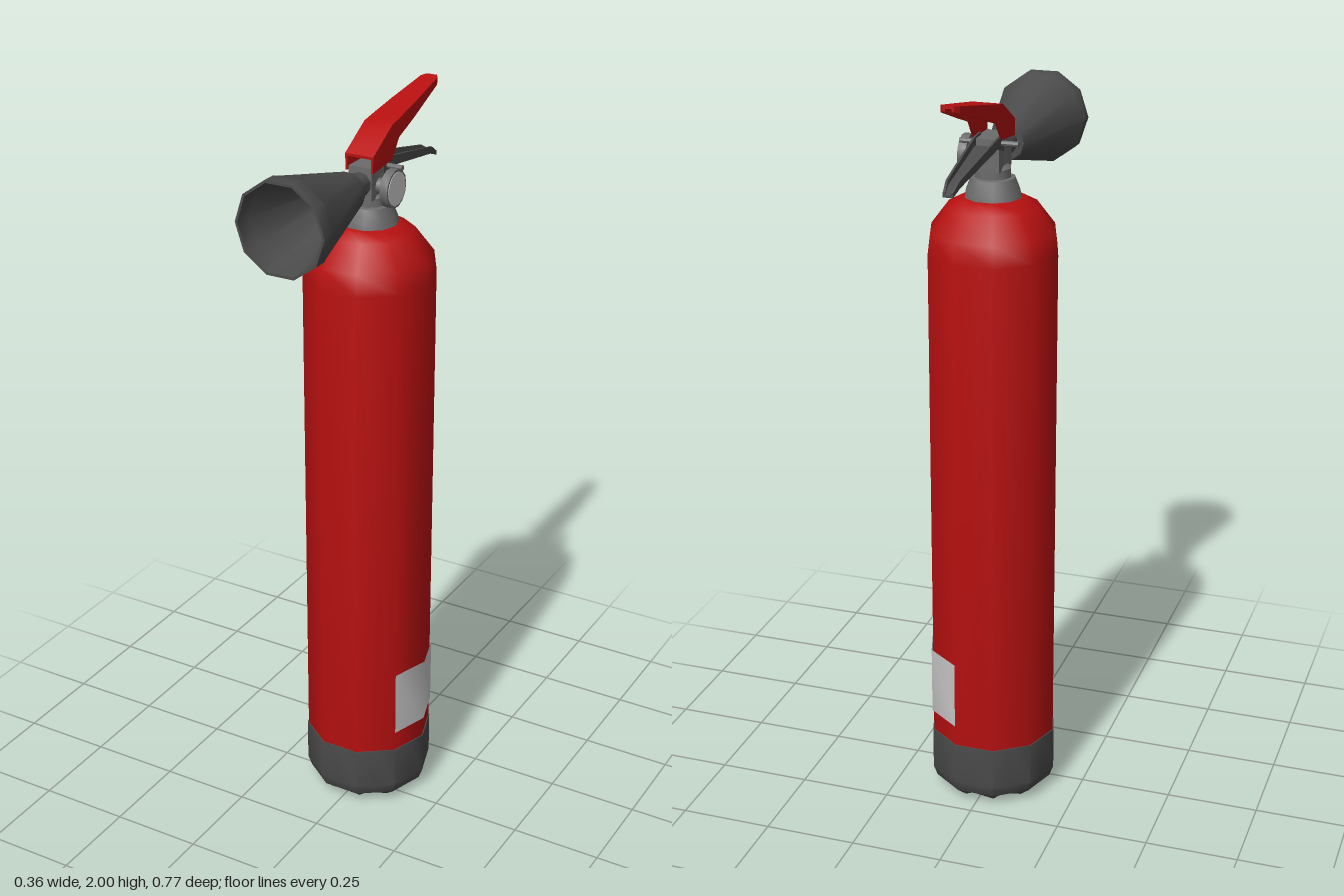
import * as THREE from 'three';
import { toCreasedNormals } from 'three/addons/utils/BufferGeometryUtils.js';

const AXIS_Z = -0.05; // centre line of the cylinder
const SIDES = 10;

const mat = (color) => new THREE.MeshStandardMaterial({ color });
const red = mat(0xb81010);
const dark = mat(0x4c4c4c);
const metal = mat(0x6c6c6c);
const light = mat(0xcccccc);

// Ten-sided lathe from [radius, height] pairs; corners point along x
function turned(profile, start = Math.PI / 2, sweep = Math.PI * 2, sides = SIDES) {
  const points = profile.map(([r, y]) => new THREE.Vector2(r, y));
  return new THREE.LatheGeometry(points, sides, start, sweep);
}

// U-shaped channel swept along -z through stations [z, top, bottom, halfWidth]
function channel(stations, t, openUp) {
  const pos = [];
  const index = [];
  for (const [z, top, bot, w] of stations) {
    const section = [
      [-w, bot], [-w, top], [w, top], [w, bot],
      [w - t, bot], [w - t, top - t], [t - w, top - t], [t - w, bot],
    ];
    for (const [x, y] of section) {
      if (openUp) pos.push(-x, top + bot - y, z);
      else pos.push(x, y, z);
    }
  }
  const quad = (a, b, c, d) => index.push(a, b, c, a, c, d);
  for (let s = 0; s < stations.length - 1; s++) {
    for (let i = 0; i < 8; i++) {
      const a = s * 8 + i;
      const b = s * 8 + ((i + 1) % 8);
      quad(a, b, b + 8, a + 8);
    }
  }
  const end = (stations.length - 1) * 8;
  for (const [a, b, c, d] of [[0, 1, 6, 7], [1, 2, 5, 6], [2, 3, 4, 5]]) {
    quad(d, c, b, a);
    quad(end + a, end + b, end + c, end + d);
  }
  const g = new THREE.BufferGeometry();
  g.setAttribute('position', new THREE.Float32BufferAttribute(pos, 3));
  g.setIndex(index);
  return g;
}

export function createModel() {
  const model = new THREE.Group();
  model.name = 'fireExtinguisher';

  const add = (name, geometry, material, x = 0, y = 0, z = 0, crease = 0.66) => {
    const mesh = new THREE.Mesh(toCreasedNormals(geometry, crease), material);
    mesh.name = name;
    mesh.position.set(x, y, z);
    model.add(mesh);
    return mesh;
  };

  // Tank with rounded shoulder
  add('tank', turned([
    [0.172, 0.16], [0.174, 0.18], [0.174, 1.56], [0.167, 1.615],
    [0.118, 1.68], [0.08, 1.7], [0, 1.702],
  ]), red, 0, 0, AXIS_Z, 0.9);

  // Base boot, its lower rim alternating between feet and notches
  const boot = turned([
    [0, 0.022], [0.09, 0.02], [0.13, 0.006], [0.166, 0.03],
    [0.177, 0.06], [0.177, 0.18], [0.172, 0.18],
  ], Math.PI / 2, Math.PI * 2, 20);
  const p = boot.attributes.position;
  for (let i = 0; i < p.count; i++) {
    const x = p.getX(i), z = p.getZ(i);
    const odd = Math.floor(i / 7) % 2 === 1;
    // mid-side columns are pulled in onto the ten-sided outline
    if (odd) p.setXYZ(i, x * Math.cos(Math.PI / 10), p.getY(i), z * Math.cos(Math.PI / 10));
    if (i % 7 === 2) p.setY(i, odd ? 0.016 : 0);
  }
  add('baseBoot', boot, dark, 0, 0, AXIS_Z);

  // Label wrapped over three sides
  const label = add('label', turned([[0.1785, 0.24], [0.1785, 0.43]],
    THREE.MathUtils.degToRad(54), THREE.MathUtils.degToRad(108), 3), light, 0, 0, AXIS_Z);
  label.material = light.clone();
  label.material.side = THREE.DoubleSide;

  // Stepped neck collar and valve
  add('neckCollar', turned([
    [0.076, 1.695], [0.072, 1.715], [0.058, 1.75], [0.048, 1.752],
    [0.048, 1.775], [0.036, 1.785], [0.036, 1.83], [0, 1.83],
  ]), metal, 0, 0, AXIS_Z);
  add('valveBlock', new THREE.BoxGeometry(0.066, 0.085, 0.1), metal, 0, 1.815, AXIS_Z);

  // Pressure gauge on the left side
  const gaugeStem = new THREE.CylinderGeometry(0.018, 0.022, 0.04, 10).rotateZ(-Math.PI / 2);
  add('gaugeStem', gaugeStem, metal, 0.048, 1.803, -0.04);
  const gauge = new THREE.CylinderGeometry(0.05, 0.05, 0.022, 14).rotateZ(-Math.PI / 2);
  add('gaugeCase', gauge, metal, 0.071, 1.803, -0.04);
  const dial = new THREE.CylinderGeometry(0.044, 0.044, 0.003, 14).rotateZ(-Math.PI / 2);
  add('gaugeDial', dial, light, 0.082, 1.803, -0.04);

  // Safety pin across the valve
  const pin = new THREE.CylinderGeometry(0.007, 0.007, 0.155, 8).rotateZ(Math.PI / 2);
  add('safetyPin', pin, metal, 0, 1.845, -0.08);

  // Discharge stem and hollow horn
  const stem = new THREE.CylinderGeometry(0.031, 0.031, 0.075, 10).rotateX(Math.PI / 2);
  add('hornStem', stem, dark, 0, 1.814, 0.03);
  const horn = turned([
    [0, 0.055], [0.048, 0.055], [0.121, 0.34], [0.124, 0.345], [0.124, 0.385],
    [0.117, 0.385], [0.112, 0.34], [0.04, 0.09], [0, 0.09],
  ]).rotateX(Math.PI / 2);
  add('horn', horn, dark, 0, 1.814, 0);

  // Squeeze lever, a channel open underneath
  add('upperLever', channel([
    [0.005, 1.89, 1.847, 0.04], [-0.092, 1.947, 1.857, 0.04],
    [-0.13, 1.954, 1.905, 0.039], [-0.22, 1.971, 1.934, 0.035],
    [-0.362, 1.998, 1.98, 0.024], [-0.378, 2, 1.986, 0.015],
  ], 0.007, false), red, 0, 0, 0, 0.4);

  // Carrying handle, a channel open on top
  add('lowerHandle', channel([
    [-0.06, 1.865, 1.82, 0.034], [-0.11, 1.862, 1.836, 0.033],
    [-0.22, 1.841, 1.818, 0.026], [-0.35, 1.815, 1.797, 0.018],
    [-0.385, 1.794, 1.782, 0.013],
  ], 0.006, true), dark, 0, 0, 0, 0.4);

  return model;
}
